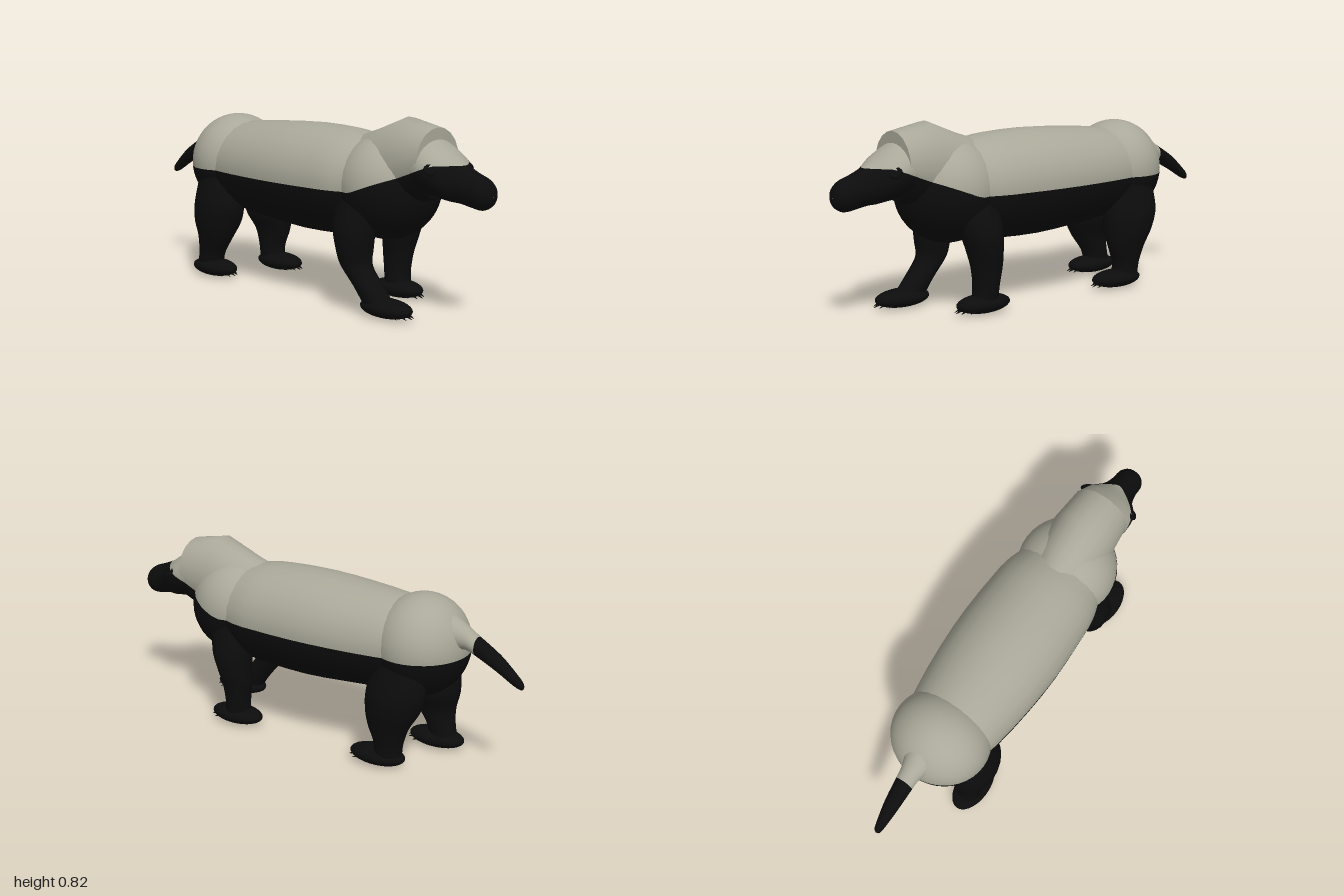
import * as THREE from 'three';

const grey = new THREE.MeshStandardMaterial({ color: 0xa9a899 });
grey.name = 'greyMantle';
const black = new THREE.MeshStandardMaterial({ color: 0x0c0c0c });
black.name = 'blackFur';

// Smooth in-between rings by Catmull-Rom on every component
function refine(rings, steps) {
  const out = [];
  const n = rings.length;
  for (let i = 0; i < n - 1; i++) {
    const [p, a, b, q] = [rings[Math.max(i - 1, 0)], rings[i], rings[i + 1], rings[Math.min(i + 2, n - 1)]];
    for (let s = 0; s < steps; s++) {
      const t = s / steps;
      out.push(a.map((v, k) => 0.5 * (2 * v + (b[k] - p[k]) * t + (2 * p[k] - 5 * v + 4 * b[k] - q[k]) * t * t
        + (3 * v - p[k] - 3 * b[k] + q[k]) * t * t * t)));
    }
  }
  out.push(rings[n - 1]);
  return out;
}

// Elliptical rings: axis 'z' uses [z, x, y, rx, ry] going up in z, axis 'y' uses [y, x, z, rx, rz] going down in y
function loft(rings, axis, sides = 28) {
  const pos = [], idx = [];
  rings.forEach(([t, a, b, ra, rb], i) => {
    for (let j = 0; j < sides; j++) {
      const w = (j / sides) * Math.PI * 2;
      const u = a + ra * Math.cos(w), v = b + rb * Math.sin(w);
      pos.push(...(axis === 'z' ? [u, v, t] : [u, t, v]));
      if (i === rings.length - 1) continue;
      const k = (j + 1) % sides, r = i * sides, s = r + sides;
      idx.push(r + j, r + k, s + j, r + k, s + k, s + j);
    }
  });
  const g = new THREE.BufferGeometry();
  g.setAttribute('position', new THREE.Float32BufferAttribute(pos, 3));
  g.setIndex(idx);
  g.computeVertexNormals();
  return g;
}

function ellipsoid(x, y, z, rx, ry, rz, w = 40, h = 28) {
  return new THREE.SphereGeometry(1, w, h).scale(rx, ry, rz).translate(x, y, z);
}

// Cut a geometry along side(x, y, z) = 0: positive part grey, negative part black
function twoTone(name, geometry, side) {
  const g = geometry.toNonIndexed();
  const P = g.attributes.position, N = g.attributes.normal;
  const pos = [], nor = [], counts = [];
  for (const sign of [1, -1]) {
    const start = pos.length / 3;
    for (let i = 0; i < P.count; i += 3) {
      const tri = [0, 1, 2].map(k => {
        const p = new THREE.Vector3().fromBufferAttribute(P, i + k);
        return { p, n: new THREE.Vector3().fromBufferAttribute(N, i + k), d: sign * side(p.x, p.y, p.z) };
      });
      const poly = [];
      tri.forEach((a, k) => {
        const b = tri[(k + 1) % 3];
        if (a.d >= 0) poly.push(a);
        if ((a.d >= 0) !== (b.d >= 0)) {
          const t = a.d / (a.d - b.d);
          poly.push({ p: a.p.clone().lerp(b.p, t), n: a.n.clone().lerp(b.n, t).normalize() });
        }
      });
      for (let k = 1; k < poly.length - 1; k++) {
        for (const v of [poly[0], poly[k], poly[k + 1]]) {
          pos.push(...v.p.toArray());
          nor.push(...v.n.toArray());
        }
      }
    }
    counts.push([start, pos.length / 3 - start]);
  }
  const out = new THREE.BufferGeometry();
  out.setAttribute('position', new THREE.Float32BufferAttribute(pos, 3));
  out.setAttribute('normal', new THREE.Float32BufferAttribute(nor, 3));
  counts.forEach(([s, c], m) => out.addGroup(s, c, m));
  const mesh = new THREE.Mesh(out, [grey, black]);
  mesh.name = name;
  return mesh;
}

function plain(name, geometry) {
  const mesh = new THREE.Mesh(geometry, black);
  mesh.name = name;
  return mesh;
}

// Mantle edge: level along the flank, rising over the shoulder to the brow
const mantle = (x, y, z) => y - 0.51 - 0.14 * THREE.MathUtils.clamp((z - 0.42) / 0.36, 0, 1);

// Leg with a flat paw and claws
function leg(name, rings, x, footZ) {
  const group = new THREE.Group();
  group.name = name;
  group.add(plain('limb', loft(refine(rings, 5), 'y', 24)));
  group.add(plain('paw', ellipsoid(x, 0.042, footZ, 0.074, 0.04, 0.132, 28, 18)));
  for (let i = -2; i <= 2; i++) {
    const claw = plain('claw', new THREE.ConeGeometry(0.009, 0.045, 8));
    claw.position.set(x + i * 0.023, 0.025, footZ + 0.125 - 0.011 * i * i);
    claw.rotation.x = Math.PI / 2 + 0.4;
    group.add(claw);
  }
  return group;
}

export function createModel() {
  const model = new THREE.Group();

  // Trunk, rump and shoulders
  const trunk = [
    [-0.58, 0, 0.53, 0.17, 0.16], [-0.42, 0, 0.52, 0.212, 0.205], [-0.2, 0, 0.519, 0.24, 0.226],
    [0, 0, 0.518, 0.25, 0.238], [0.2, 0, 0.517, 0.243, 0.233], [0.32, 0, 0.515, 0.23, 0.22],
    [0.5, 0, 0.52, 0.17, 0.17],
  ];
  model.add(twoTone('trunk', loft(refine(trunk, 2), 'z', 24), mantle));
  model.add(twoTone('rump', ellipsoid(0, 0.53, -0.52, 0.222, 0.222, 0.205), mantle));
  model.add(twoTone('shoulders', ellipsoid(0, 0.52, 0.445, 0.225, 0.225, 0.225), mantle));

  // Neck hood ending in a step above the brow
  const neck = [
    [0.29, 0, 0.59, 0.11, 0.135], [0.4, 0, 0.59, 0.14, 0.172], [0.55, 0, 0.625, 0.15, 0.197],
    [0.71, 0, 0.645, 0.135, 0.145], [0.71, 0, 0.645, 0.135, 0.145], [0.712, 0, 0.64, 0.001, 0.001],
  ];
  model.add(twoTone('neck', loft(neck, 'z', 20), mantle));

  // Head tapering into a rounded muzzle
  const head = [
    [0.62, 0, 0.64, 0.13, 0.13], [0.7, 0, 0.628, 0.138, 0.118], [0.77, 0, 0.605, 0.132, 0.1],
    [0.81, 0, 0.588, 0.112, 0.09], [0.85, 0, 0.574, 0.08, 0.079], [0.91, 0, 0.556, 0.064, 0.072],
    [0.955, 0, 0.546, 0.062, 0.066], [0.985, 0, 0.543, 0.046, 0.047], [0.997, 0, 0.541, 0.024, 0.025],
    [1, 0, 0.54, 0.001, 0.001],
  ];
  model.add(twoTone('head', loft(refine(head, 3), 'z'), mantle));

  // Small round ears
  for (const s of [1, -1]) {
    const ear = plain(s > 0 ? 'leftEar' : 'rightEar', new THREE.TorusGeometry(0.02, 0.009, 8, 16));
    ear.position.set(s * 0.118, 0.635, 0.775);
    ear.rotation.set(-0.9, s * 0.5, 0);
    model.add(ear);
  }

  // Tail with a dark brush
  const tail = [
    [-1, 0, 0.438, 0.001, 0.001], [-0.992, 0, 0.443, 0.014, 0.016], [-0.96, 0, 0.464, 0.022, 0.027],
    [-0.88, 0, 0.52, 0.034, 0.036], [-0.78, 0, 0.574, 0.042, 0.041], [-0.73, 0, 0.598, 0.048, 0.05],
    [-0.66, 0, 0.61, 0.075, 0.08],
  ];
  model.add(twoTone('tail', loft(refine(tail, 3), 'z', 20), (x, y, z) => z + 0.783));

  // Front legs: left one upright, right one striding ahead
  model.add(leg('frontLeftLeg', [
    [0.48, 0.15, 0.39, 0.06, 0.1], [0.36, 0.163, 0.38, 0.084, 0.095], [0.27, 0.165, 0.365, 0.08, 0.08],
    [0.2, 0.163, 0.355, 0.066, 0.07], [0.12, 0.158, 0.355, 0.06, 0.058], [0.045, 0.155, 0.36, 0.055, 0.06],
  ], 0.152, 0.365));
  model.add(leg('frontRightLeg', [
    [0.48, -0.15, 0.4, 0.06, 0.1], [0.36, -0.163, 0.4, 0.084, 0.095], [0.27, -0.165, 0.405, 0.08, 0.08],
    [0.2, -0.163, 0.415, 0.066, 0.07], [0.12, -0.158, 0.48, 0.06, 0.068], [0.045, -0.155, 0.54, 0.055, 0.075],
  ], -0.152, 0.575));

  // Rear legs: heavy thighs, left one a little ahead
  for (const [name, s, shift] of [['rearLeftLeg', 1, 0], ['rearRightLeg', -1, -0.1]]) {
    model.add(leg(name, [
      [0.5, s * 0.13, -0.5, 0.07, 0.11], [0.36, s * 0.15, -0.485, 0.095, 0.135],
      [0.27, s * 0.15, -0.47 + shift * 0.25, 0.097, 0.125], [0.19, s * 0.158, -0.455 + shift * 0.5, 0.07, 0.095],
      [0.11, s * 0.154, -0.455 + shift * 0.8, 0.057, 0.067], [0.045, s * 0.153, -0.45 + shift, 0.055, 0.065],
    ], s * 0.152, -0.4 + shift * 1.18));
  }
  return model;
}
